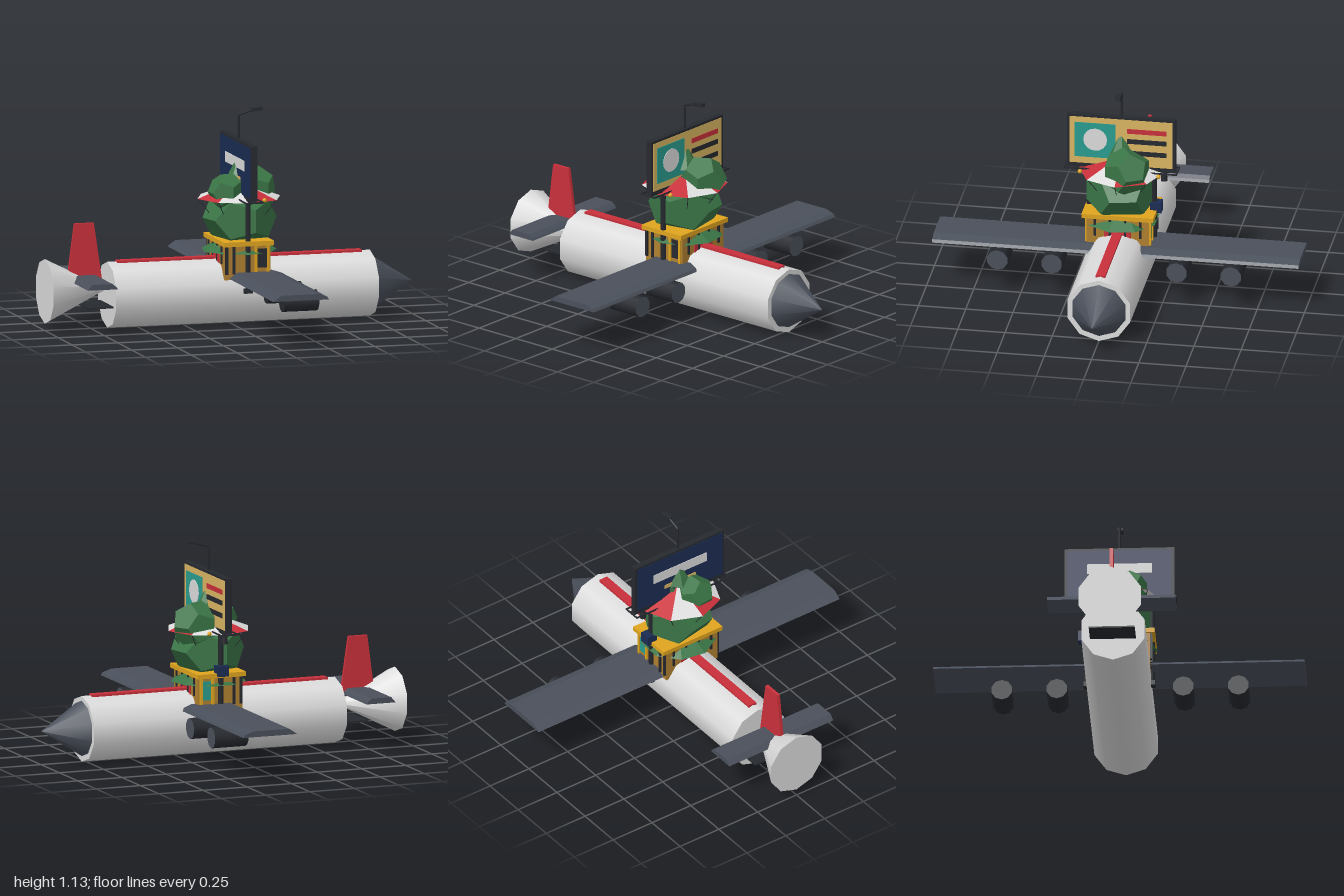
import * as THREE from 'three';

const mat = (name, color) => {
  const m = new THREE.MeshStandardMaterial({ color });
  m.name = name;
  return m;
};

export function createModel() {
  const root = new THREE.Group();
  root.name = 'billboardPlane';
  const white = mat('white', 0xdcdcdc), slate = mat('slate', 0x4a505b), dark = mat('charcoal', 0x26292f);
  const red = mat('red', 0xc9303a), green = mat('green', 0x3a7546), tan = mat('tan', 0xd9b562);
  const ochre = mat('ochre', 0xb08030), teal = mat('teal', 0x2a9d8f), navy = mat('navy', 0x1b2c54);
  const yellow = mat('yellow', 0xe0a51e);
  red.side = white.side = THREE.DoubleSide;

  const add = (name, geo, material, x = 0, y = 0, z = 0, parent = root) => {
    const m = new THREE.Mesh(geo, material);
    m.name = name;
    m.position.set(x, y, z);
    parent.add(m);
    return m;
  };
  const box = (name, material, w, h, d, x, y, z) =>
    add(name, new THREE.BoxGeometry(w, h, d), material, x, y, z);
  // Cylinder lying along x, r1 at the +x end, with a corner pointing straight up and down
  const barrel = (name, material, r1, r0, x0, x1, y, z, sides) =>
    add(name, new THREE.CylinderGeometry(r1, r0, x1 - x0, sides, 1, false, Math.PI / 2)
      .rotateZ(-Math.PI / 2), material, (x0 + x1) / 2, y, z);
  // Thin rod between two points
  const rod = (name, material, a, b, r) => {
    const p = new THREE.Vector3(...a), q = new THREE.Vector3(...b);
    const m = add(name, new THREE.CylinderGeometry(r, r, p.distanceTo(q), 6), material);
    m.position.copy(p).lerp(q, 0.5);
    m.quaternion.setFromUnitVectors(new THREE.Vector3(0, 1, 0), q.sub(p).normalize());
    return m;
  };
  // Flat side profile in x and y, extruded along z about the middle
  const slab = (name, material, pts, depth) => {
    const shape = new THREE.Shape(pts.map(p => new THREE.Vector2(...p)));
    const g = new THREE.ExtrudeGeometry(shape, { depth, bevelEnabled: false });
    return add(name, g.translate(0, 0, -depth / 2), material);
  };

  // Fuselage
  barrel('fuselage', white, 0.174, 0.174, -0.66, 0.77, 0.176, 0, 10);
  barrel('noseCone', slate, 0, 0.147, 0.77, 1, 0.178, 0, 10);
  barrel('tailCone', white, 0, 0.171, -1, -0.66, 0.209, 0, 10);
  box('topStripe', red, 1.33, 0.012, 0.05, 0.055, 0.35, 0);

  // Wings and tail
  slab('wing', slate, [[-0.045, 0.257], [0.26, 0.257], [0.25, 0.272], [0.2, 0.288], [0.0, 0.288]], 1.94);
  slab('tailplane', slate, [[-0.865, 0.257], [-0.7, 0.257], [-0.71, 0.27], [-0.73, 0.286], [-0.84, 0.286]], 0.67);
  slab('tailFin', red, [[-0.88, 0.255], [-0.69, 0.255], [-0.735, 0.56], [-0.84, 0.56]], 0.018);
  box('lowerTailPlate', dark, 0.14, 0.008, 0.24, -0.73, 0.126, 0);

  // Engines
  for (const s of [-1, 1]) for (const z of [0.33, 0.618]) {
    const e = barrel('engine', dark, 0.056, 0.056, 0.107, 0.295, 0.2, s * z, 10);
    e.material = [dark, slate, dark];
  }

  // Cabin with yellow eave
  box('cabin', ochre, 0.25, 0.19, 0.33, 0.056, 0.345, 0);
  box('cabinEave', yellow, 0.272, 0.024, 0.38, 0.056, 0.44, 0);
  for (const s of [-1, 1]) {
    for (const x of [-0.06, -0.02, 0.1, 0.165])
      box('cabinPost', x < 0 ? dark : yellow, 0.014, 0.16, 0.014, x, 0.36, s * 0.168);
    box('cabinWindow', s > 0 ? dark : teal, 0.05, 0.1, 0.008, 0.135, 0.36, s * 0.167);
    for (const z of [-0.12, -0.04, 0.04, 0.12])
      box('cabinSidePost', dark, 0.012, 0.1, 0.012, 0.056 + s * 0.127, 0.38, z);
    box('cabinSidePanel', red, 0.008, 0.09, 0.14, 0.056 + s * 0.127, 0.365, 0);
  }
  box('mailBox', navy, 0.06, 0.055, 0.06, 0.056, 0.465, -0.185);

  // Tree
  const flat = g => { const f = g.index ? g.toNonIndexed() : g; f.computeVertexNormals(); return f; };
  add('lowerSkirt', flat(new THREE.ConeGeometry(0.2, 0.11, 9)), green, 0.056, 0.44, 0);
  const leaf = (name, r, x, y, z, sy, turn) => {
    const m = add(name, flat(new THREE.DodecahedronGeometry(r, 0)), green, x, y, z);
    m.scale.y = sy;
    m.rotation.y = turn;
  };
  leaf('mainFoliage', 0.195, 0.06, 0.555, 0, 0.85, 0.2);
  leaf('rightFoliage', 0.13, 0.142, 0.69, -0.042, 1, 0.5);
  leaf('leftFoliage', 0.1, -0.025, 0.7, 0.055, 1, 0.1);
  add('treeTip', flat(new THREE.ConeGeometry(0.07, 0.14, 7)), green, 0.058, 0.825, 0);

  // Striped canopy, one eighth at a time, with stays
  for (let i = 0; i < 8; i++) {
    const a = i * Math.PI / 4;
    add('canopyPanel', flat(new THREE.ConeGeometry(0.225, 0.085, 1, 1, true, a, Math.PI / 4)),
      i % 2 ? white : red, 0.056, 0.702, 0);
    const sx = Math.sin(a), sz = Math.cos(a);
    rod('canopyStay', dark, [0.056 + sx * 0.22, 0.66, sz * 0.22], [0.056 + sx * 0.15, 0.57, sz * 0.15], 0.002);
  }

  // Billboard: dark frame with a printed side (+x) and a plain navy side (-x)
  box('billboardFrame', dark, 0.034, 0.29, 0.574, 0.056, 0.824, 0);
  const sign = (name, m, layer, h, d, y, z) => box(name, m, 0.003, h, d, 0.0735 + layer * 0.003, y, z);
  sign('posterBackground', tan, 0, 0.264, 0.546, 0.824, 0);
  sign('posterPanel', teal, 1, 0.196, 0.216, 0.827, 0.137);
  add('posterDisc', new THREE.CylinderGeometry(0.063, 0.063, 0.003, 16).rotateZ(-Math.PI / 2),
    white, 0.0795, 0.832, 0.136);
  [0.892, 0.834, 0.767].forEach((y, i) => sign('posterBar', i ? dark : red, 1, 0.026, 0.21, y, -0.136));
  box('backPanel', navy, 0.003, 0.264, 0.546, 0.0375, 0.824, 0);
  box('backBar', white, 0.003, 0.055, 0.34, 0.0345, 0.85, 0);
  box('backSmallBar', tan, 0.003, 0.022, 0.2, 0.0345, 0.77, 0);

  // Billboard posts, catwalk rails and bulbs
  for (const s of [-1, 1]) {
    rod('billboardPost', dark, [0.056, 0.19, s * 0.172], [0.056, 0.7, s * 0.172], 0.014);
    box('postFoot', dark, 0.045, 0.025, 0.03, 0.056, 0.19, s * 0.172);
    box('catwalkRail', dark, 0.005, 0.008, 0.6, 0.056 + s * 0.047, 0.672, 0);
    box('catwalkEnd', dark, 0.1, 0.008, 0.006, 0.056, 0.672, s * 0.297);
    box('catwalkBracket', dark, 0.03, 0.01, 0.14, 0.056, 0.672, s * 0.225);
    add('bulb', new THREE.SphereGeometry(0.012, 8, 6), yellow, 0.135, 0.67, s * 0.208);
  }
  add('hangingLantern', new THREE.CylinderGeometry(0.015, 0.018, 0.05, 8), dark, 0.056, 0.64, -0.225);

  // Lamp mast
  rod('lampMast', dark, [0.056, 0.96, 0], [0.056, 1.095, 0], 0.007);
  rod('lampArm', dark, [0.056, 1.095, 0], [0.14, 1.12, 0], 0.006);
  box('lampHead', dark, 0.06, 0.016, 0.028, 0.153, 1.12, 0).rotation.z = 0.1;

  return root;
}
